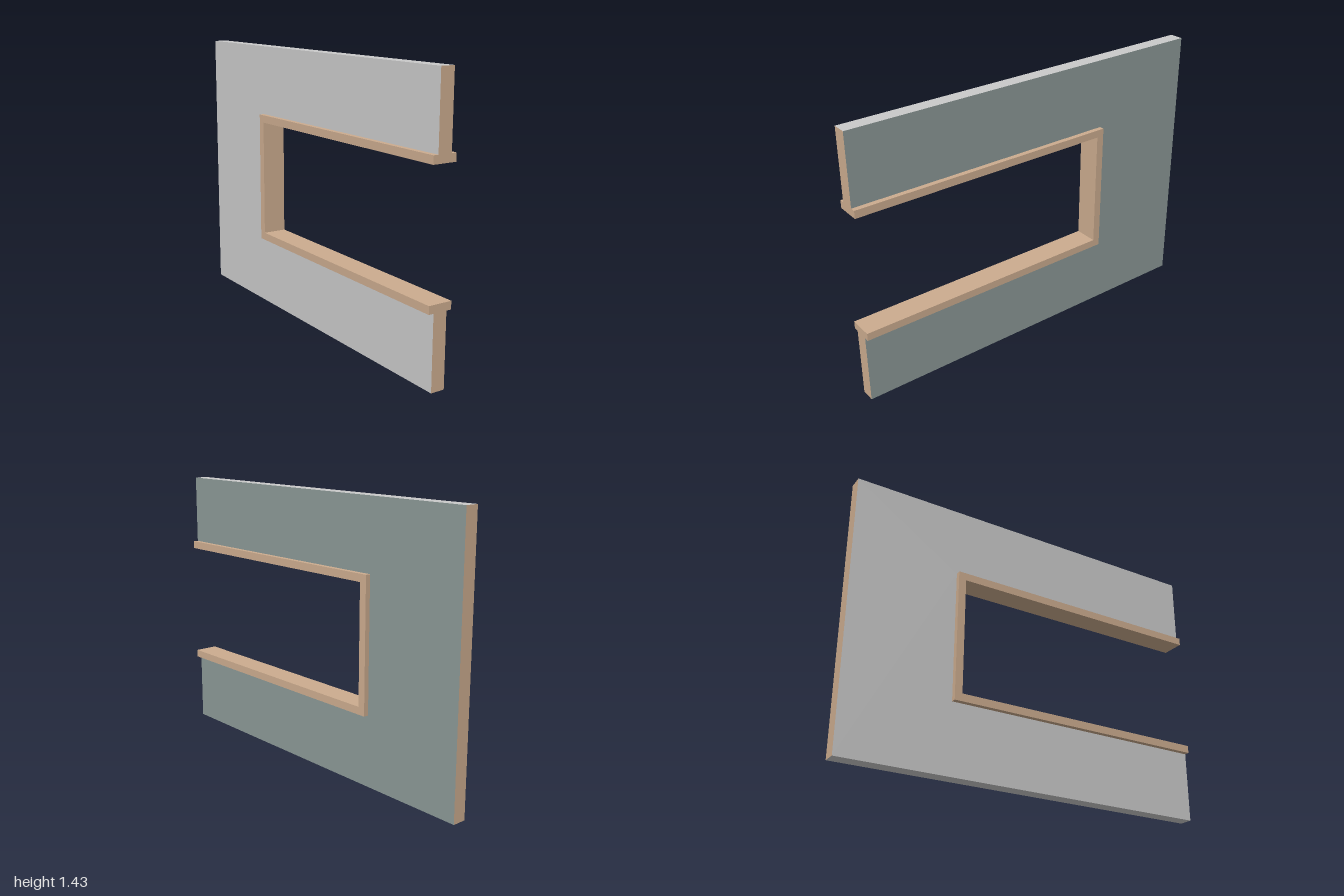
import * as THREE from 'three';

// Extrudes an outline of [z, y] points across x, centred on x = 0
function slab(points, thickness) {
  const shape = new THREE.Shape(points.map(([z, y]) => new THREE.Vector2(-z, y)));
  const geo = new THREE.ExtrudeGeometry(shape, { depth: thickness, bevelEnabled: false });
  geo.translate(0, 0, -thickness / 2);
  geo.rotateY(Math.PI / 2);
  return geo;
}

// C-shaped outline, open towards +z
function cOutline(y0, y1, back, innerY0, innerY1, innerBack) {
  return [
    [1, y0], [back, y0], [back, y1], [1, y1],
    [1, innerY1], [innerBack, innerY1], [innerBack, innerY0], [1, innerY0],
  ];
}

// One group per triangle, its material chosen by the face normal
function groupByNormal(geo, choose) {
  const normal = geo.attributes.normal;
  geo.clearGroups();
  for (let i = 0; i < normal.count; i += 3) {
    geo.addGroup(i, 3, choose(normal.getX(i), normal.getY(i), normal.getZ(i)));
  }
  return geo;
}

export function createModel() {
  const model = new THREE.Group();
  model.name = 'wallWithOpening';

  const material = (name, color) => {
    const m = new THREE.MeshStandardMaterial({ color });
    m.name = name;
    return m;
  };
  const sage = material('sagePaint', 0x8a9795);
  const grey = material('greyPlaster', 0xc9c9c9);
  const tan = material('tanWood', 0xcbab8e);

  // Wall: sage on its left face, tan on the ends, grey elsewhere
  const wallGeo = groupByNormal(
    slab(cOutline(0, 1.43, -1, 0.37, 1.065, -0.44), 0.073),
    (x, y, z) => (x > 0.5 ? 0 : Math.abs(z) > 0.5 ? 2 : 1),
  );
  const wall = new THREE.Mesh(wallGeo, [sage, grey, tan]);
  wall.name = 'wall';
  model.add(wall);

  // Wider trim lining the opening
  const trim = new THREE.Mesh(
    slab(cOutline(0.37, 1.065, -0.44, 0.41, 1.025, -0.4), 0.126),
    tan,
  );
  trim.name = 'openingTrim';
  model.add(trim);

  return model;
}
